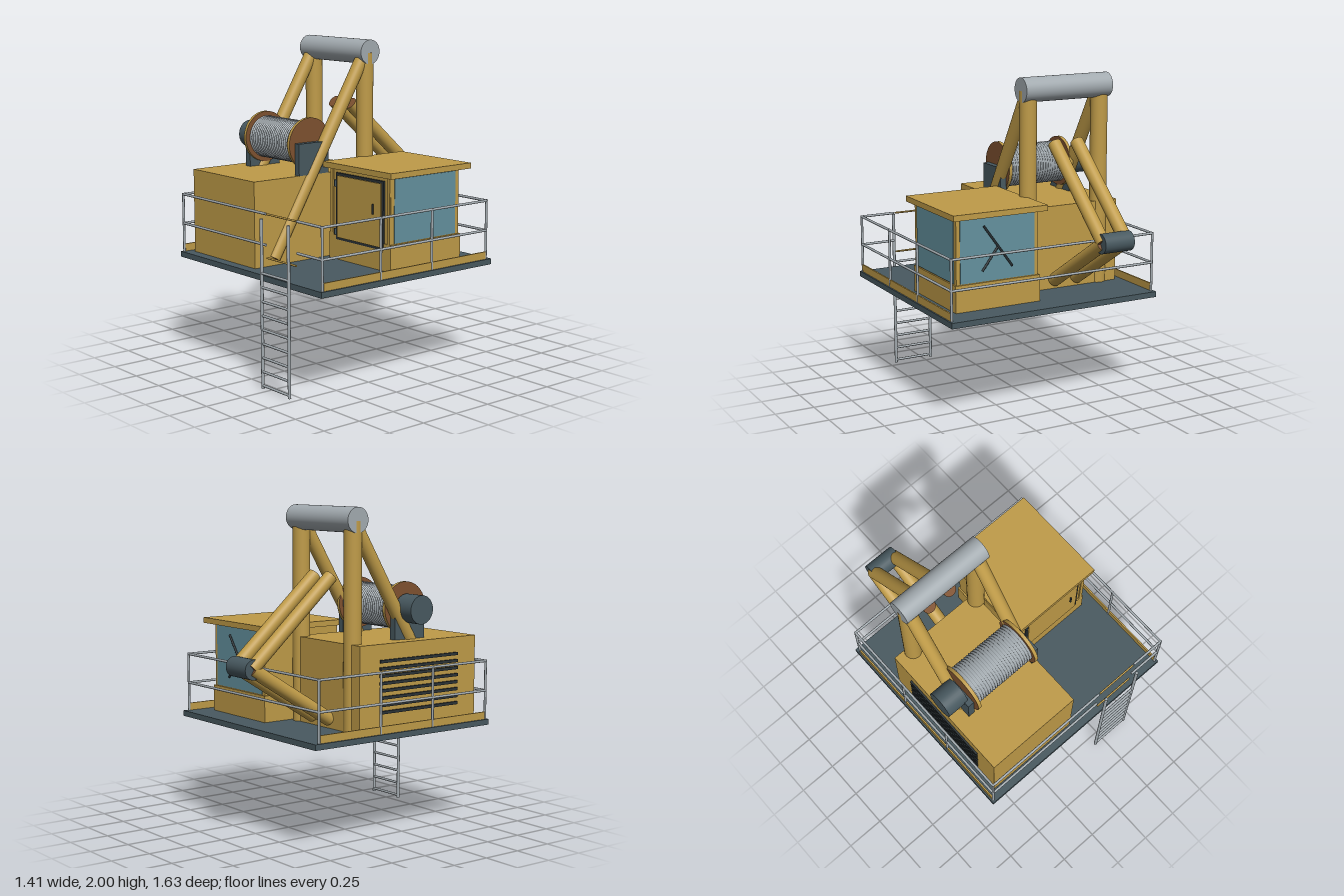
import * as THREE from 'three';

const mat = (name, color, side = THREE.FrontSide) => {
  const m = new THREE.MeshStandardMaterial({ color, side });
  m.name = name;
  return m;
};

export function createModel() {
  const root = new THREE.Group();
  root.name = 'winchPlatform';
  const yellow = mat('yellow paint', 0xbf9b48);
  const slate = mat('slate steel', 0x485960);
  const steel = mat('bare steel', 0xa3abb0);
  const glass = mat('blue glass', 0x64929f);
  const rust = mat('brown end faces', 0x7f5230);
  const dark = mat('dark trim', 0x2a3236);

  const group = (name) => {
    const g = new THREE.Group();
    g.name = name;
    root.add(g);
    return g;
  };
  const add = (parent, name, geo, material) => {
    const m = new THREE.Mesh(geo, material);
    m.name = name;
    parent.add(m);
    return m;
  };
  // Box given by its limits on each axis
  const box = (parent, name, [x0, x1], [y0, y1], [z0, z1], material) => {
    const m = add(parent, name, new THREE.BoxGeometry(x1 - x0, y1 - y0, z1 - z0), material);
    m.position.set((x0 + x1) / 2, (y0 + y1) / 2, (z0 + z1) / 2);
    return m;
  };
  // Round bar between two points, with an optional material for its ends
  const bar = (parent, name, a, b, r, material, ends = material, sides = 28) => {
    const p = new THREE.Vector3(...a), q = new THREE.Vector3(...b);
    const m = add(parent, name, new THREE.CylinderGeometry(r, r, p.distanceTo(q), sides), [material, ends, ends]);
    m.position.copy(p).lerp(q, 0.5);
    m.quaternion.setFromUnitVectors(new THREE.Vector3(0, 1, 0), q.sub(p).normalize());
    return m;
  };

  // Deck with toe boards
  const deckTop = 0.675;
  const deck = group('deck');
  box(deck, 'deckPlate', [-0.705, 0.705], [0.64, deckTop], [-0.57, 0.775], slate);
  for (const s of [-1, 1]) {
    box(deck, 'toeBoard', [s * 0.69 - 0.005, s * 0.69 + 0.005], [deckTop, 0.722], [-0.535, 0.757], yellow);
  }

  // Railing, open at the ladder
  const railing = group('railing');
  const zF = 0.757, zB = -0.535, xS = 0.69, rr = 0.008;
  const rail = (a, b) => bar(railing, 'rail', a, b, rr, steel, steel, 10);
  for (const y of [0.855, 1.04]) {
    for (const s of [-1, 1]) rail([s * xS, y, zB], [s * xS, y, zF]);
    rail([-xS, y, zB], [xS, y, zB]);
    rail([-xS, y, zF], [0.17, y, zF]);
    rail([0.465, y, zF], [xS, y, zF]);
  }
  for (const s of [-1, 1]) {
    for (const z of [zF, 0.323, -0.08, zB]) {
      bar(railing, 'post', [s * xS, deckTop, z], [s * xS, 1.047, z], rr, steel, steel, 10);
    }
  }
  for (const y of [0.78, 1.04]) {
    bar(railing, 'gateBar', [0.18, y, zF], [0.455, y, zF], 0.006, yellow, yellow, 10);
  }

  // Ladder
  const ladder = group('ladder');
  for (const x of [0.19, 0.445]) {
    bar(ladder, 'ladderRail', [x, 0, 0.805], [x, 1.02, 0.805], 0.01, steel, steel, 12);
  }
  for (let i = 0; i < 9; i++) {
    const y = 0.018 + i * 0.085;
    bar(ladder, 'rung', [0.19, y, 0.805], [0.445, y, 0.805], 0.008, steel, steel, 10);
  }

  // Machinery house with louvres
  const house = group('machineryHouse');
  box(house, 'houseBody', [-0.64, -0.005], [deckTop, 1.2], [-0.2, 0.71], yellow);
  for (let i = 0; i < 8; i++) {
    const y = 0.793 + i * 0.0435;
    box(house, 'louvre', [-0.652, -0.638], [y - 0.009, y + 0.009], [-0.05, 0.56], dark);
  }

  // Operator cab
  const cab = group('cab');
  box(cab, 'cabBase', [0.03, 0.597], [deckTop, 0.84], [-0.405, 0.165], yellow);
  box(cab, 'cabBody', [0.04, 0.588], [0.84, 1.24], [-0.395, 0.157], yellow);
  box(cab, 'roof', [0.005, 0.632], [1.24, 1.275], [-0.455, 0.195], yellow);
  box(cab, 'sideWindow', [0.587, 0.592], [0.845, 1.23], [-0.365, 0.13], glass);
  box(cab, 'rearWindow', [0.065, 0.563], [0.845, 1.23], [-0.399, -0.394], glass);
  for (const x of [0.055, 0.575]) {
    box(cab, 'frontPost', [x - 0.012, x + 0.012], [0.84, 1.24], [0.155, 0.165], yellow);
  }
  box(cab, 'doorSeal', [0.1, 0.535], [0.8, 1.215], [0.15, 0.169], dark);
  box(cab, 'door', [0.116, 0.519], [0.816, 1.199], [0.15, 0.176], yellow);
  bar(cab, 'doorHandle', [0.46, 1.01, 0.186], [0.46, 1.07, 0.186], 0.006, dark, dark, 8);
  for (const y of [0.85, 1.15]) bar(cab, 'hinge', [0.1, y - 0.02, 0.174], [0.1, y + 0.02, 0.174], 0.008, slate, slate, 8);
  // Wiper on the rear window
  bar(cab, 'wiperBlade', [0.41, 1.18, -0.405], [0.22, 0.92, -0.405], 0.007, dark, dark, 8);
  bar(cab, 'wiperArm', [0.315, 1.05, -0.405], [0.42, 0.91, -0.405], 0.007, dark, dark, 8);

  // A-frame: masts, front legs and head roller
  const frame = group('aFrame');
  for (const x of [-0.525, -0.021]) {
    bar(frame, 'mast', [x, deckTop, -0.163], [x, 1.92, -0.163], 0.054, yellow, rust);
    bar(frame, 'frontLeg', [x, 0.715, 0.56], [x, 1.9, -0.15], 0.042, yellow, rust);
  }
  bar(frame, 'headRoller', [-0.577, 1.925, -0.165], [0.03, 1.925, -0.165], 0.076, steel, steel, 40);

  // Rear strut pairs meeting at a cross pin
  const struts = group('rearStruts');
  for (const x of [-0.35, -0.193]) {
    bar(struts, 'upperStrut', [x, 1.08, -0.76], [x, 1.587, -0.19], 0.042, yellow, rust);
    bar(struts, 'lowerStrut', [x, 1.08, -0.76], [x, 0.73, -0.2], 0.042, yellow, rust);
  }
  bar(struts, 'crossPin', [-0.372, 1.08, -0.76], [-0.172, 1.08, -0.76], 0.06, slate);

  // Winch drum with rope turns, flanges, bearings and motor
  const winch = group('winch');
  const wy = 1.385, wz = 0.26, turns = 24, x0 = -0.485, x1 = -0.055;
  const profile = [];
  for (let i = 0; i <= turns * 4; i++) {
    const t = i / (turns * 4);
    profile.push(new THREE.Vector2(0.123 + 0.009 * Math.abs(Math.sin(t * turns * Math.PI)), t * (x1 - x0)));
  }
  const rope = add(winch, 'ropeDrum', new THREE.LatheGeometry(profile, 40), steel);
  rope.rotation.z = -Math.PI / 2;
  rope.position.set(x0, wy, wz);
  for (const x of [-0.492, -0.05]) {
    bar(winch, 'flange', [x - 0.011, wy, wz], [x + 0.011, wy, wz], 0.159, yellow, rust, 48);
  }
  for (const [a, b] of [[-0.545, -0.5], [-0.042, 0.0]]) {
    box(winch, 'bearingBlock', [a, b], [1.2, 1.395], [0.145, 0.375], slate);
  }
  bar(winch, 'motor', [-0.662, wy, 0.255], [-0.52, wy, 0.255], 0.087, slate, slate, 36);

  return root;
}
